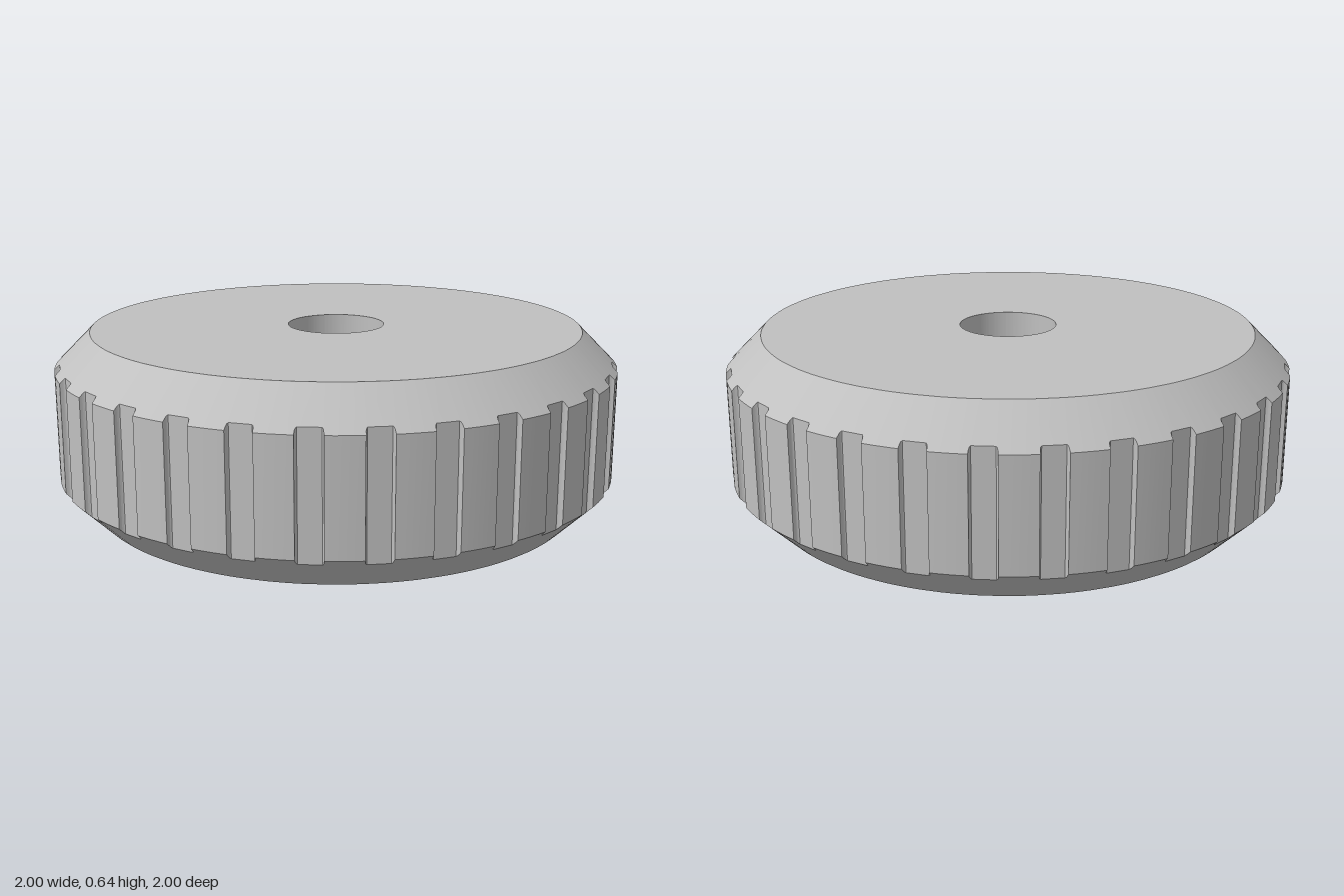
import * as THREE from 'three';
import { toCreasedNormals } from 'three/addons/utils/BufferGeometryUtils.js';

const HEIGHT = 0.64, FACE_R = 0.873, BORE_R = 0.172;
const LEDGE_Y = 0.4, FLOOR_Y = 0.12;
const GROOVES = 30;

// Half of one groove: [sideways offset, distance from the axis], with filleted inner corner
const GROOVE = [[0.044, 1], [0.0425, 0.988], [0.0405, 0.983], [0.037, 0.98]];

// Outline around the rim as [angle, radius]
function rimOutline() {
  const outline = [];
  const pitch = (Math.PI * 2) / GROOVES;
  const full = [...GROOVE.map(([x, d]) => [-x, d]), ...[...GROOVE].reverse()];
  const edge = Math.atan2(GROOVE[0][0], 1);
  for (let i = 0; i < GROOVES; i++) {
    const mid = Math.PI + i * pitch;
    for (const [x, d] of full) outline.push([mid + Math.atan2(x, d), Math.min(1, Math.hypot(x, d))]);
    for (let s = 1; s < 4; s++) outline.push([mid + edge + (pitch - 2 * edge) * s / 4, 1]);
  }
  return outline;
}

// Bevelled, grooved body swept as one skin from the underside centre to the bore ledge
function bodyGeometry() {
  const columns = rimOutline().map(([a, r]) => [
    [0, 0], [FACE_R, 0],
    [r, r - FACE_R], [r, HEIGHT - (r - FACE_R)],
    [FACE_R, HEIGHT], [BORE_R, HEIGHT], [BORE_R, LEDGE_Y],
  ].map(([rad, y]) => [rad * Math.sin(a), y, rad * Math.cos(a)]));
  const pos = [];
  columns.forEach((p, i) => {
    const q = columns[(i + 1) % columns.length];
    for (let k = 0; k < p.length - 1; k++) {
      if (k > 0) pos.push(...p[k], ...q[k], ...q[k + 1]);
      pos.push(...p[k], ...q[k + 1], ...p[k + 1]);
    }
  });
  const g = new THREE.BufferGeometry();
  g.setAttribute('position', new THREE.Float32BufferAttribute(pos, 3));
  return toCreasedNormals(g, 0.6);
}

// Ledge inside the bore, pierced by a D-shaped shaft socket with corner reliefs
function socketGeometry() {
  const shape = new THREE.Shape().absarc(0, 0, BORE_R, 0, Math.PI * 2, false);
  const r = 0.131, flat = -0.09, key = -0.066, keyX = 0.058;
  const a = Math.asin(flat / r);
  const hole = new THREE.Path();
  hole.absarc(0, 0, r, a, Math.PI - a, false);
  hole.lineTo(-keyX, flat);
  hole.lineTo(-keyX, key);
  hole.lineTo(keyX, key);
  hole.lineTo(keyX, flat);
  hole.closePath();
  shape.holes.push(hole);
  const g = new THREE.ExtrudeGeometry(shape, { depth: LEDGE_Y - FLOOR_Y, bevelEnabled: false, curveSegments: 48 });
  g.rotateX(-Math.PI / 2).translate(0, FLOOR_Y, 0);
  return toCreasedNormals(g, 0.6);
}

export function createModel() {
  const knob = new THREE.Group();
  knob.name = 'knob';
  const grey = new THREE.MeshStandardMaterial({ color: 0xc0c0c0 });
  grey.name = 'light grey';

  const add = (name, geometry) => {
    const mesh = new THREE.Mesh(geometry, grey);
    mesh.name = name;
    knob.add(mesh);
  };
  add('groovedBody', bodyGeometry());
  add('shaftSocket', socketGeometry());
  // Closed bottom of the socket
  add('socketFloor', new THREE.CircleGeometry(0.15, 48).rotateX(-Math.PI / 2).translate(0, FLOOR_Y + 0.002, 0));
  return knob;
}
